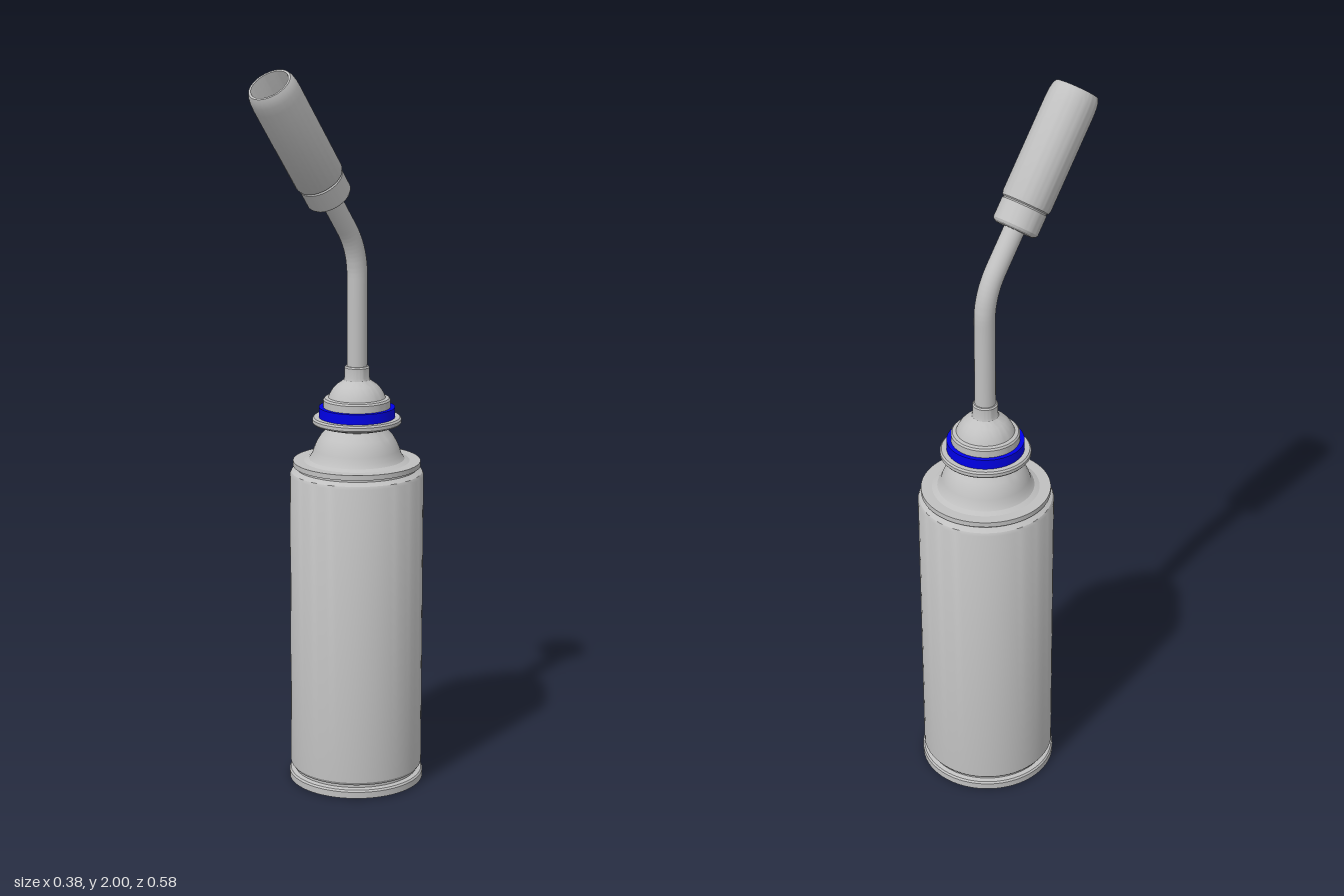
import * as THREE from 'three';
import { toCreasedNormals } from 'three/addons/utils/BufferGeometryUtils.js';

const AXIS_Z = -0.103;   // the canister stands behind the centre
const TILT = 0.65;       // forward lean of the burner head

const steel = new THREE.MeshStandardMaterial({ color: 0xc0c0c0 });
steel.name = 'steelGrey';
const blue = new THREE.MeshStandardMaterial({ color: 0x0000ff });
blue.name = 'ringBlue';

// Turned part from [radius, height] pairs, listed bottom to top on the outside
function turned(name, profile, material = steel) {
  const points = profile.map(([r, y]) => new THREE.Vector2(r, y));
  const mesh = new THREE.Mesh(toCreasedNormals(new THREE.LatheGeometry(points, 64), 0.5), material);
  mesh.name = name;
  return mesh;
}

export function createModel() {
  const model = new THREE.Group();
  model.name = 'gasTorch';
  const torch = new THREE.Group();
  torch.name = 'torch';
  torch.position.z = AXIS_Z;
  model.add(torch);

  torch.add(
    // Rolled foot with a recessed underside
    turned('baseRim', [[0, 0.035], [0.146, 0.035], [0.155, 0.015], [0.168, 0.002], [0.178, 0],
      [0.188, 0.003], [0.188, 0.021], [0.184, 0.026], [0.172, 0.029], [0.172, 0.038]]),
    turned('canister', [[0.168, 0.036], [0.178, 0.038], [0.184, 0.047], [0.184, 0.882],
      [0.18, 0.89], [0.166, 0.899], [0.166, 0.907]]),
    turned('topRim', [[0.16, 0.905], [0.175, 0.906], [0.175, 0.92], [0.165, 0.92], [0.13, 0.92]]),
    // Domed shoulder
    turned('shoulder', [[0.145, 0.92], [0.131, 0.926], [0.123, 0.937], [0.118, 0.953], [0.11, 0.972],
      [0.099, 0.99], [0.085, 1.004], [0.079, 1.012], [0.079, 1.024]]),
    turned('collar', [[0.07, 1.019], [0.105, 1.019], [0.119, 1.024], [0.122, 1.028], [0.122, 1.037],
      [0.118, 1.042], [0.09, 1.042]]),
    turned('colourRing', [[0.09, 1.042], [0.104, 1.042], [0.104, 1.07], [0.09, 1.07]], blue),
    // Stepped cap and bell under the pipe
    turned('valveCap', [[0.092, 1.068], [0.092, 1.09], [0.088, 1.095], [0.078, 1.097], [0.074, 1.107],
      [0.066, 1.12], [0.055, 1.132], [0.043, 1.14], [0.036, 1.146], [0.034, 1.153],
      [0.034, 1.18], [0.031, 1.184], [0.02, 1.184]])
  );

  // Bent pipe: straight stem, elbow, leaning arm
  const v = (along, y) => new THREE.Vector3(0, y, along);
  const lean = (d) => v(Math.sin(TILT) * d, 1.504 + Math.cos(TILT) * d);
  const elbow = new THREE.QuadraticBezierCurve3(v(0, 1.43), v(0, 1.504), lean(0.074));
  const path = [v(0, 1.17), ...elbow.getPoints(10), lean(0.21)];
  const curve = new THREE.CurvePath();
  for (let i = 1; i < path.length; i++) curve.add(new THREE.LineCurve3(path[i - 1], path[i]));
  const pipe = new THREE.Mesh(new THREE.TubeGeometry(curve, 80, 0.028, 24), steel);
  pipe.name = 'pipe';
  torch.add(pipe);

  // Burner head, turned along its own axis and leaned forward
  const head = new THREE.Group();
  head.name = 'burnerHead';
  head.position.copy(lean(0.184));
  head.rotation.x = TILT;
  head.add(
    turned('burnerCollar', [[0, 0], [0.05, 0], [0.058, 0.004], [0.062, 0.01], [0.062, 0.064],
      [0.058, 0.069], [0.04, 0.069]]),
    turned('burnerTube', [[0.04, 0.067], [0.058, 0.067], [0.064, 0.071], [0.067, 0.08], [0.067, 0.34],
      [0.066, 0.362], [0.063, 0.379], [0.058, 0.389], [0.052, 0.389], [0.051, 0.385],
      [0.051, 0.12], [0, 0.12]])
  );
  torch.add(head);

  return model;
}
